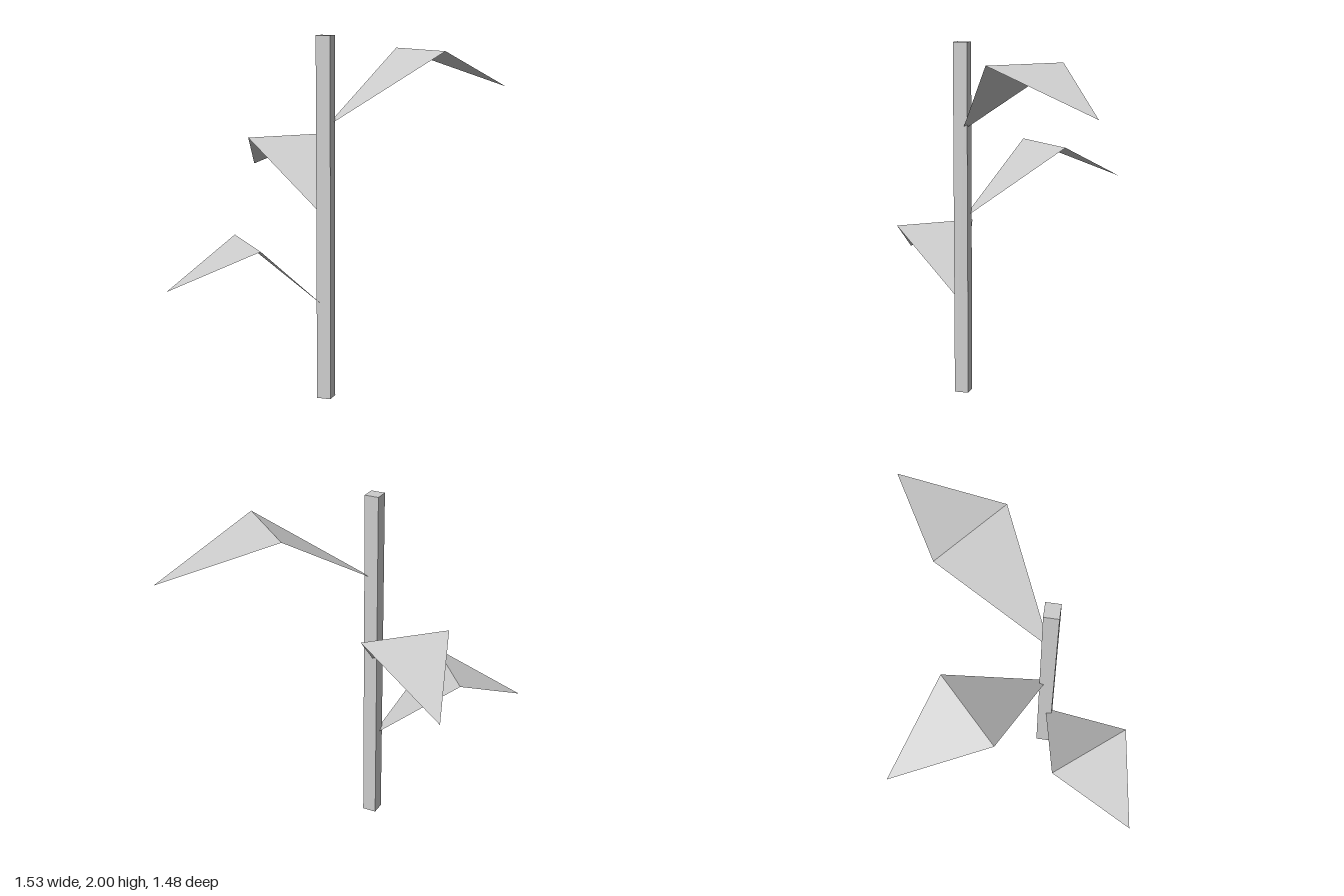
import * as THREE from 'three';

const STEM = { x: -0.04, z: 0.18, width: 0.08, height: 2 };

// Folded leaf: one triangle rising from the stem, one drooping to the tip.
// It points along +z from its base at the origin.
function leafGeometry(length) {
  const halfWidth = 0.241, rise = 0.4, tip = 0.17;
  const base = [0, 0, 0];
  const left = [halfWidth, rise, length / 2];
  const right = [-halfWidth, rise, length / 2];
  const end = [0, tip, length];
  const geometry = new THREE.BufferGeometry();
  geometry.setAttribute('position', new THREE.Float32BufferAttribute(
    [base, left, right, right, left, end].flat().map((v) => v), 3));
  // Reverse the winding so that the upper side is the front
  geometry.setIndex([0, 2, 1, 3, 5, 4]);
  geometry.computeVertexNormals();
  return geometry;
}

export function createModel() {
  const model = new THREE.Group();
  model.name = 'plant';

  const grey = new THREE.MeshStandardMaterial({ color: 0xcccccc });
  grey.name = 'plain grey';
  const leafGrey = grey;
  leafGrey.side = THREE.DoubleSide;

  // Square stem
  const stem = new THREE.Mesh(
    new THREE.BoxGeometry(STEM.width, STEM.height, STEM.width), grey);
  stem.name = 'stem';
  stem.position.set(STEM.x, STEM.height / 2, STEM.z);
  model.add(stem);

  // Leaves, growing longer towards the top
  const leaves = [
    { name: 'lowerLeaf', y: 0.51, length: 0.89, yaw: -50.9 },
    { name: 'middleLeaf', y: 1.01, length: 1.05, yaw: -136.2 },
    { name: 'upperLeaf', y: 1.51, length: 1.22, yaw: 139.1 },
  ];
  for (const { name, y, length, yaw } of leaves) {
    const leaf = new THREE.Mesh(leafGeometry(length), leafGrey);
    leaf.name = name;
    leaf.position.set(STEM.x, y, STEM.z);
    leaf.rotation.y = THREE.MathUtils.degToRad(yaw);
    model.add(leaf);
  }

  return model;
}
